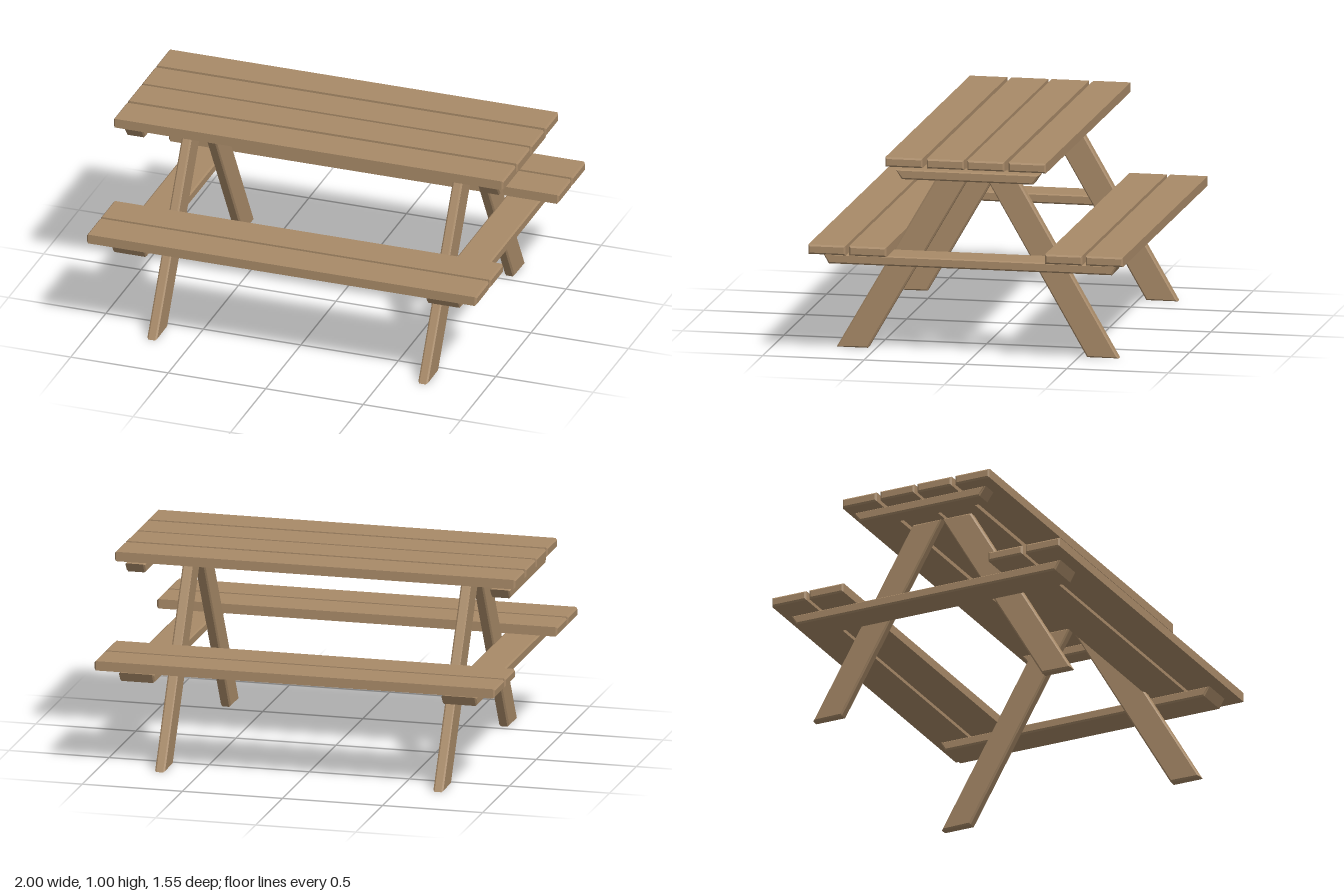
import * as THREE from 'three';

const BEVEL = 0.008;

// Timber with a (z, y) outline, running along x from x0 to x1, edges chamfered.
function timber(name, outline, x0, x1, material) {
  const pts = outline.map(([z, y]) => new THREE.Vector2(-z, y));
  if (THREE.ShapeUtils.isClockWise(pts)) pts.reverse();
  const geometry = new THREE.ExtrudeGeometry(new THREE.Shape(pts), {
    depth: x1 - x0 - 2 * BEVEL,
    bevelEnabled: true,
    bevelThickness: BEVEL,
    bevelSize: BEVEL,
    bevelOffset: -BEVEL,
    bevelSegments: 1,
  });
  geometry.translate(0, 0, x0 + BEVEL);
  geometry.rotateY(Math.PI / 2);
  const mesh = new THREE.Mesh(geometry, material);
  mesh.name = name;
  return mesh;
}

const board = (z0, z1, y0, y1) => [[z0, y0], [z1, y0], [z1, y1], [z0, y1]];

// Crosspiece outline: the ends slope inwards towards the bottom.
const crosspiece = (top, bottom, y0, y1) =>
  [[-bottom, y0], [bottom, y0], [top, y1], [-top, y1]];

export function createModel() {
  const wood = new THREE.MeshStandardMaterial({ color: 0xa88a68 });
  wood.name = 'wood';
  const table = new THREE.Group();
  table.name = 'picnicTable';

  // Four table top planks and two seat planks on each side
  for (const s of [-1, 1]) {
    for (const z of [0.1, 0.304]) {
      table.add(timber('topPlank', board(s * z - 0.092, s * z + 0.092, 0.956, 1.003), -1, 1, wood));
    }
    for (const z of [0.483, 0.684]) {
      table.add(timber('seatPlank', board(s * z - 0.092, s * z + 0.092, 0.51, 0.557), -1, 1, wood));
    }
  }

  // End frames: slanted legs, seat support and top cleat
  for (const side of [-1, 1]) {
    const add = (name, outline, a, b) =>
      table.add(timber(name, outline, side > 0 ? a : -b, side > 0 ? b : -a, wood));
    for (const s of [-1, 1]) {
      add('leg', [[s * 0.54, 0], [s * 0.695, 0], [s * 0.157, 0.933], [s * 0.002, 0.933]], 0.67, 0.72);
    }
    add('seatSupport', crosspiece(0.725, 0.698, 0.445, 0.493), 0.718, 0.893);
    add('topCleat', crosspiece(0.355, 0.323, 0.889, 0.937), 0.862, 0.96);
  }
  return table;
}
